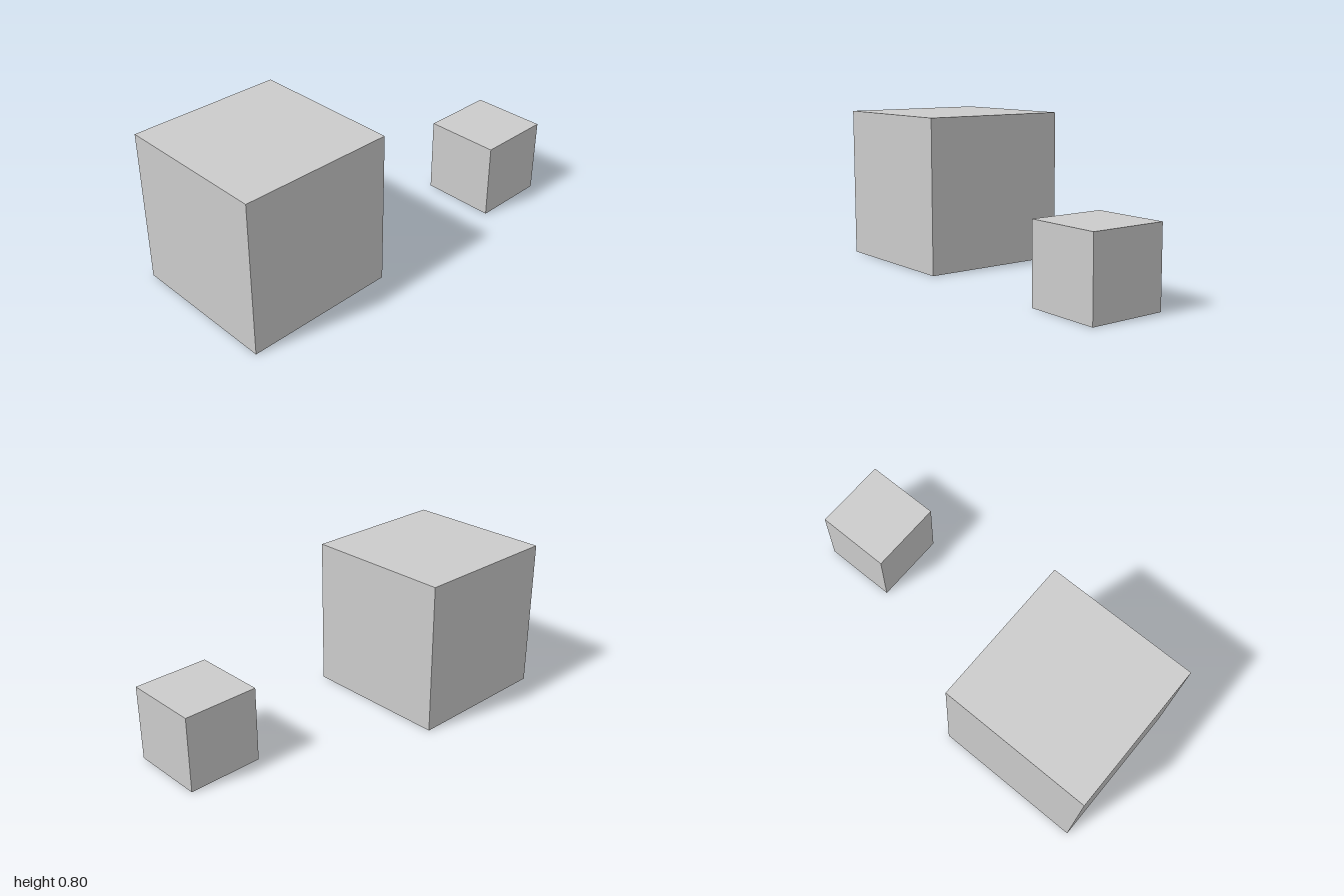
import * as THREE from 'three';

export function createModel() {
  const model = new THREE.Group();
  const material = new THREE.MeshStandardMaterial({ color: 0xcccccc });

  // A cube standing on the ground
  function addCube(name, size, x, z) {
    const cube = new THREE.Mesh(new THREE.BoxGeometry(size, size, size), material);
    cube.name = name;
    cube.position.set(x, size / 2, z);
    model.add(cube);
  }

  addCube('largeCube', 0.8, -0.6, 0);
  addCube('smallCube', 0.4, 0.8, 0.2);

  return model;
}
